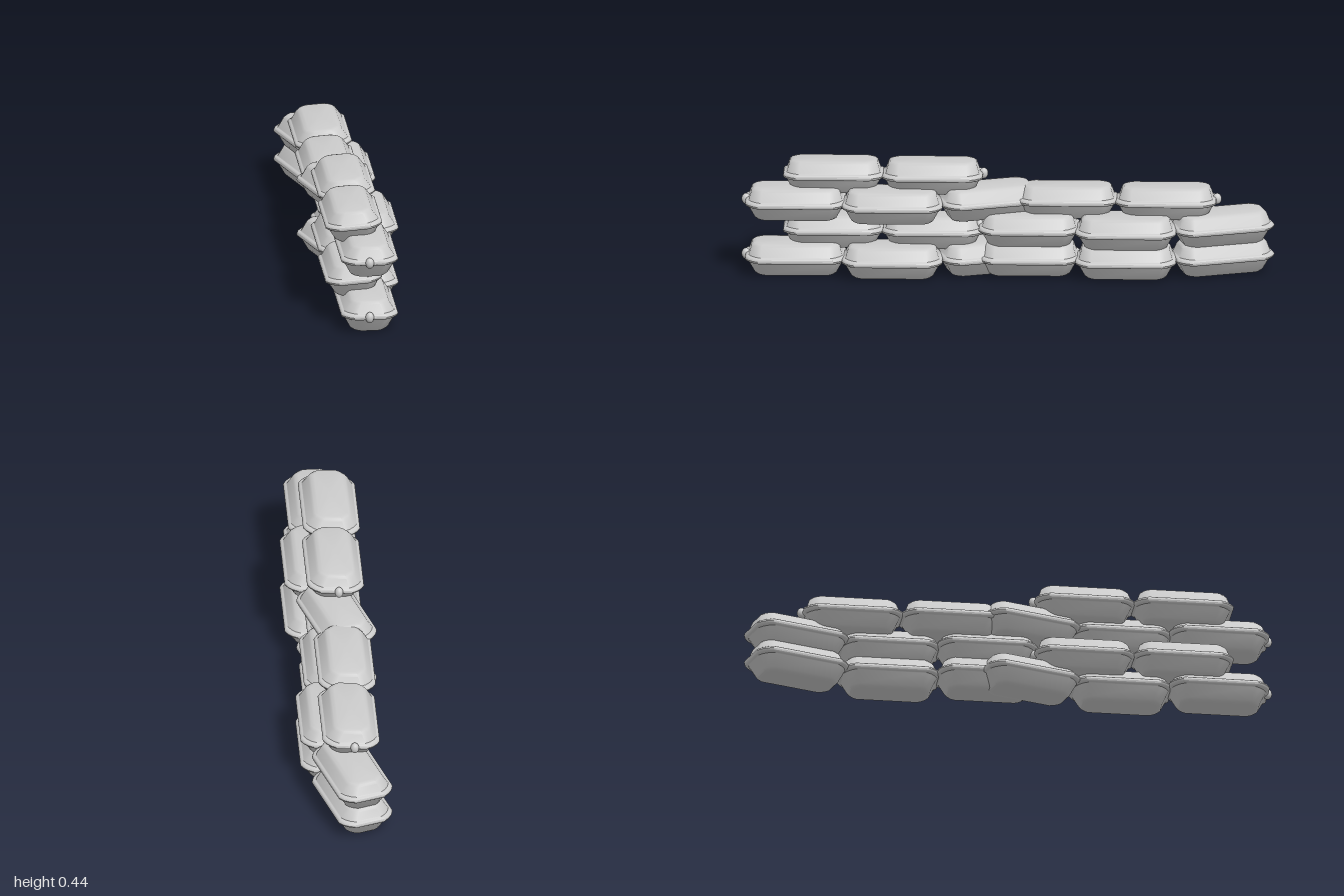
import * as THREE from 'three';
import { toCreasedNormals } from 'three/addons/utils/BufferGeometryUtils.js';

const material = new THREE.MeshStandardMaterial({ color: 0xcccccc });

// Rounded-rectangle outline: half width w, half length l, corner cut c
function outline(w, l, c) {
  const pts = [];
  const corners = [[1, 1], [-1, 1], [-1, -1], [1, -1]];
  corners.forEach(([sx, sz], k) => {
    for (let i = 0; i < 4; i++) {
      const a = (k + i / 3) * Math.PI / 2;
      // blend a round corner with a straight chamfer
      const t = (i / 3) * Math.PI / 2, u = i / 3;
      const start = k * Math.PI / 2, end = start + Math.PI / 2;
      const cx = THREE.MathUtils.lerp(Math.cos(start), Math.cos(end), u);
      const cz = THREE.MathUtils.lerp(Math.sin(start), Math.sin(end), u);
      const x = 0.5 * (Math.cos(start + t) + cx), z = 0.5 * (Math.sin(a) + cz);
      pts.push([sx * (w - c) + c * x, sz * (l - c) + c * z]);
    }
  });
  return pts;
}

// Filled bag lofted from outlines, bottom to top, with a rolled seam in the middle
function bagGeometry() {
  const rings = [ // y, half width, half length, corner cut
    [-0.067, 0.050, 0.135, 0.025],
    [-0.065, 0.063, 0.147, 0.032],
    [-0.058, 0.071, 0.154, 0.036],
    [-0.014, 0.094, 0.176, 0.045],
  ];
  for (let i = 0; i <= 6; i++) {
    const a = -Math.PI / 2 + (i / 6) * Math.PI, r = 0.012 * Math.cos(a);
    rings.push([0.012 * Math.sin(a), 0.096 + r, 0.178 + r, 0.048]);
  }
  rings.push(
    [0.014, 0.094, 0.176, 0.045],
    [0.046, 0.074, 0.166, 0.038],
    [0.054, 0.065, 0.158, 0.033],
    [0.057, 0.052, 0.146, 0.026],
  );

  const pos = [], index = [], n = 16;
  for (const [y, w, l, c] of rings) for (const [x, z] of outline(w, l, c)) pos.push(x, y, z);
  for (let r = 0; r < rings.length - 1; r++) {
    for (let i = 0; i < n; i++) {
      const a = r * n + i, b = r * n + (i + 1) % n;
      index.push(a, a + n, b, b, a + n, b + n);
    }
  }
  // end caps
  const low = pos.length / 3, high = low + 1, last = (rings.length - 1) * n;
  pos.push(0, -0.068, 0, 0, 0.059, 0);
  for (let i = 0; i < n; i++) {
    const j = (i + 1) % n;
    index.push(low, i, j, high, last + j, last + i);
  }
  const g = new THREE.BufferGeometry();
  g.setAttribute('position', new THREE.Float32BufferAttribute(pos, 3));
  g.setIndex(index);
  return toCreasedNormals(g, 0.6);
}

export function createModel() {
  const model = new THREE.Group();
  const bagGeo = bagGeometry();
  const knotGeo = new THREE.SphereGeometry(1, 16, 12);

  function bag(parent, x, z, turn = 0, roll = 0) {
    const m = new THREE.Mesh(bagGeo, material);
    m.name = 'sandbag';
    m.position.set(x, 0, z);
    m.rotation.set(0, turn, roll);
    parent.add(m);
  }

  function knot(parent, x, z) {
    const m = new THREE.Mesh(knotGeo, material);
    m.name = 'tiedEnd';
    m.position.set(x, 0.001, z);
    m.scale.set(0.016, 0.021, 0.017);
    parent.add(m);
  }

  // Curved run of three bags, tied at the front
  function longRow(y, z) {
    const row = new THREE.Group();
    row.name = 'longSandbagRow';
    bag(row, 0.011, 0.79);
    bag(row, 0.049, 0.425);
    bag(row, -0.024, 0.066, 0.3);
    knot(row, 0.007, 0.978);
    row.position.set(0, y, z);
    model.add(row);
  }

  // Straight run of two bags, tied at the back and leaning slightly
  function shortRow(y, z) {
    const row = new THREE.Group();
    row.name = 'shortSandbagRow';
    bag(row, -0.035, 0.648, 0, 0.07);
    bag(row, -0.025, 0.275, 0, 0.07);
    knot(row, -0.035, 0.083);
    row.position.set(0, y, z);
    model.add(row);
  }

  const back = -0.88;
  // front stack: alternating long and short rows
  longRow(0.069, 0);
  shortRow(0.164, 0);
  longRow(0.285, 0);
  shortRow(0.379, 0);
  // back stack: two long rows under a short one
  longRow(0.073, back);
  longRow(0.187, back);
  shortRow(0.284, back);
  return model;
}
